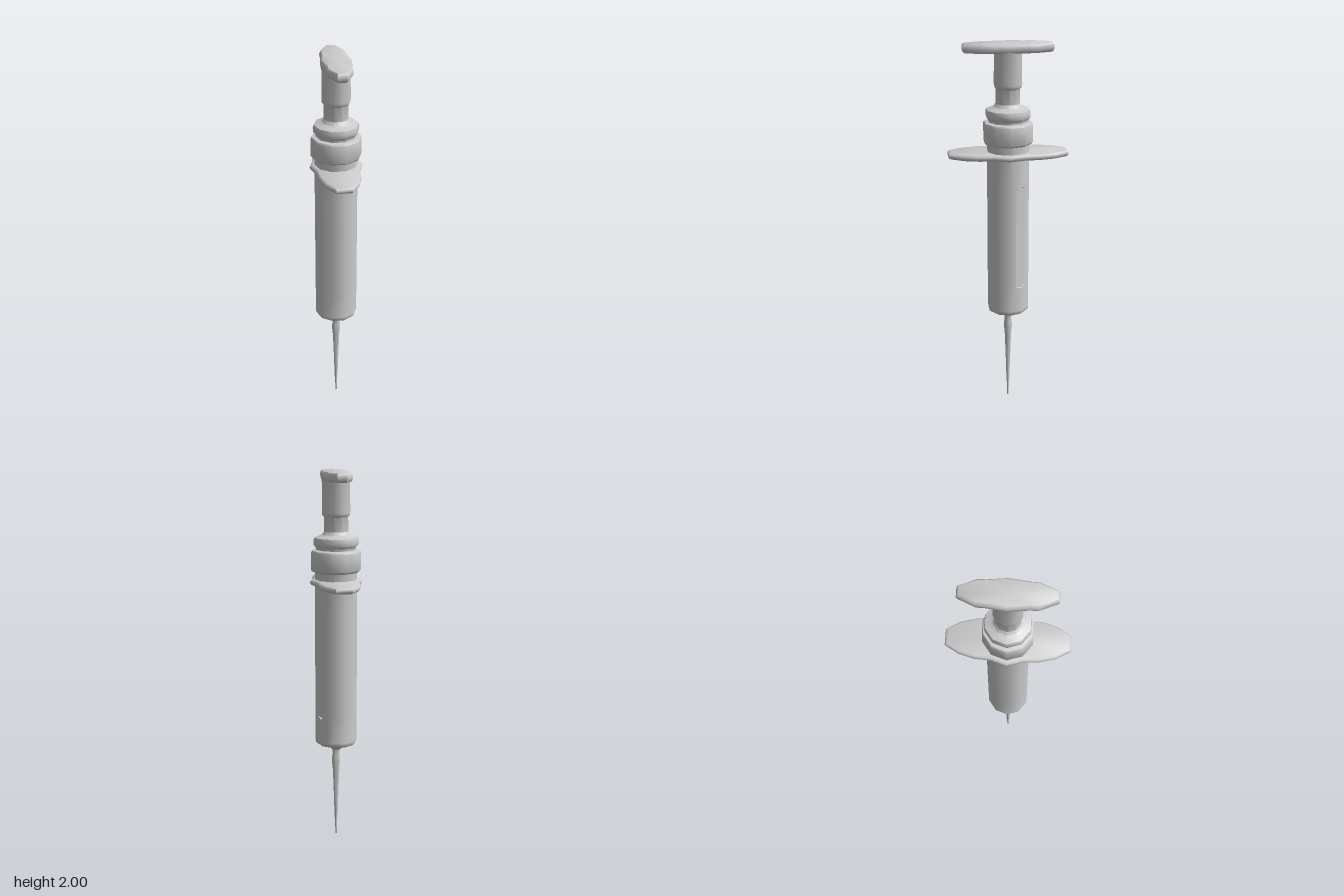
import * as THREE from 'three';
import { toCreasedNormals } from 'three/addons/utils/BufferGeometryUtils.js';

const SIDES = 10;
const CREASE = 0.75;
const material = new THREE.MeshStandardMaterial({ color: 0xcccccc });

function addMesh(group, name, geometry) {
  const mesh = new THREE.Mesh(toCreasedNormals(geometry, CREASE), material);
  mesh.name = name;
  group.add(mesh);
}

// Ten-sided turned part; profile runs upwards as [radius, y].
function turned(profile) {
  const points = profile.map(([r, y]) => new THREE.Vector2(r, y));
  return new THREE.LatheGeometry(points, SIDES, Math.PI / 2);
}

// Skin over closed rings stacked upwards; keep(row, column) selects faces.
function loft(rings, capped, keep = () => true) {
  const n = rings[0].length;
  const index = [];
  const positions = rings.flat(2);
  for (let i = 0; i < rings.length - 1; i++) {
    for (let j = 0; j < n; j++) {
      if (!keep(i, j)) continue;
      const a = i * n + j, b = i * n + (j + 1) % n;
      index.push(a, a + n, b, b, a + n, b + n);
    }
  }
  if (capped) {
    const last = rings.length - 1;
    const c = rings.length * n;
    positions.push(0, rings[0][0][1], 0, 0, rings[last][0][1], 0);
    for (let j = 0; j < n; j++) {
      const k = (j + 1) % n;
      index.push(c, j, k, c + 1, last * n + k, last * n + j);
    }
  }
  const geometry = new THREE.BufferGeometry();
  geometry.setAttribute('position', new THREE.Float32BufferAttribute(positions, 3));
  geometry.setIndex(index);
  return geometry;
}

// Flat plate with rounded rim from a quarter outline that runs from +x to +z.
function plate(quarter, y0, y1, round) {
  const half = [...quarter, ...quarter.slice().reverse().map(([x, z]) => [-x, z])]
    .filter(([x, z], i) => !(x < 0 && z === 0));
  const outline = [...half, ...half.map(([x, z]) => [-x, -z])];
  // close the missing -x corner: it is the mirrored first point of the second half
  const w = quarter[0][0], d = quarter[quarter.length - 1][1];
  const h = y1 - y0;
  const levels = [[round, 0], [round * 0.3, 0.15], [0, 0.4], [0, 0.6], [round * 0.3, 0.85], [round, 1]];
  return loft(levels.map(([inset, t]) => outline.map(([x, z]) =>
    [x * (1 - inset / w), y0 + t * h, z * (1 - inset / d)])), true);
}

export function createModel() {
  const model = new THREE.Group();
  model.name = 'syringe';

  // Barrel rings: ten corners, with edge midpoints either side of the window corner
  const R = 0.113;
  const corner = k => [R * Math.cos(k * Math.PI / 5), R * Math.sin(k * Math.PI / 5)];
  const mid = (p, q) => [(p[0] + q[0]) / 2, (p[1] + q[1]) / 2];
  const barrelRing = (y, slot = false, endShift = 0) => {
    const pts = [];
    for (let k = 0; k < 9; k++) pts.push(corner(k));
    const a = mid(corner(8), corner(9));
    const b = mid(corner(9), corner(10));
    pts.push(a, slot ? mid(a, b) : corner(9), b);
    return pts.map(([x, z], j) => [x, y + (j === 9 || j === 11 ? endShift : 0), z]);
  };
  const rings = [
    barrelRing(0.555),
    barrelRing(0.685, false, 0.015), barrelRing(0.69, true, 0.02),
    barrelRing(1.255, true, -0.02), barrelRing(1.26, false, -0.015),
    barrelRing(1.49),
  ];
  const inWindow = (i, j) => i >= 1 && i <= 3 && (j === 9 || j === 10);
  addMesh(model, 'barrel', loft(rings, false, (i, j) => !inWindow(i, j)));
  addMesh(model, 'barrelWindow', loft(rings, false, inWindow));

  // Needle, hub and the funnel under the barrel
  addMesh(model, 'needle', turned([
    [0.001, 0], [0.004, 0.003], [0.005, 0.05], [0.009, 0.12], [0.013, 0.25],
    [0.018, 0.38], [0.023, 0.43], [0.022, 0.45], [0.018, 0.475], [0.022, 0.497],
    [0.04, 0.51], [0.07, 0.524], [0.1, 0.532], [0.11, 0.54], [0.113, 0.555],
  ]));

  // Finger flange
  addMesh(model, 'fingerFlange', plate(
    [[0.138, 0], [0.112, 0.082], [0.107, 0.165], [0.085, 0.245], [0.042, 0.315]],
    1.405, 1.437, 0.014));

  // Collar and end cap
  addMesh(model, 'collar', turned([
    [0.113, 1.475], [0.127, 1.48], [0.132, 1.487], [0.132, 1.582], [0.127, 1.59], [0.106, 1.594],
  ]));
  addMesh(model, 'endCap', turned([
    [0.106, 1.588], [0.106, 1.605], [0.118, 1.618], [0.12, 1.64], [0.116, 1.657],
    [0.095, 1.665], [0.075, 1.672], [0.064, 1.69],
  ]));

  // Plunger rod with its thicker upper sleeve
  addMesh(model, 'plungerRod', turned([
    [0.065, 1.66], [0.064, 1.765], [0.073, 1.775], [0.075, 1.79], [0.073, 1.94], [0.078, 1.962],
  ]));

  // Thumb rest
  addMesh(model, 'thumbRest', plate(
    [[0.08, 0], [0.067, 0.1], [0.066, 0.145], [0.025, 0.235]],
    1.953, 2, 0.012));

  return model;
}
